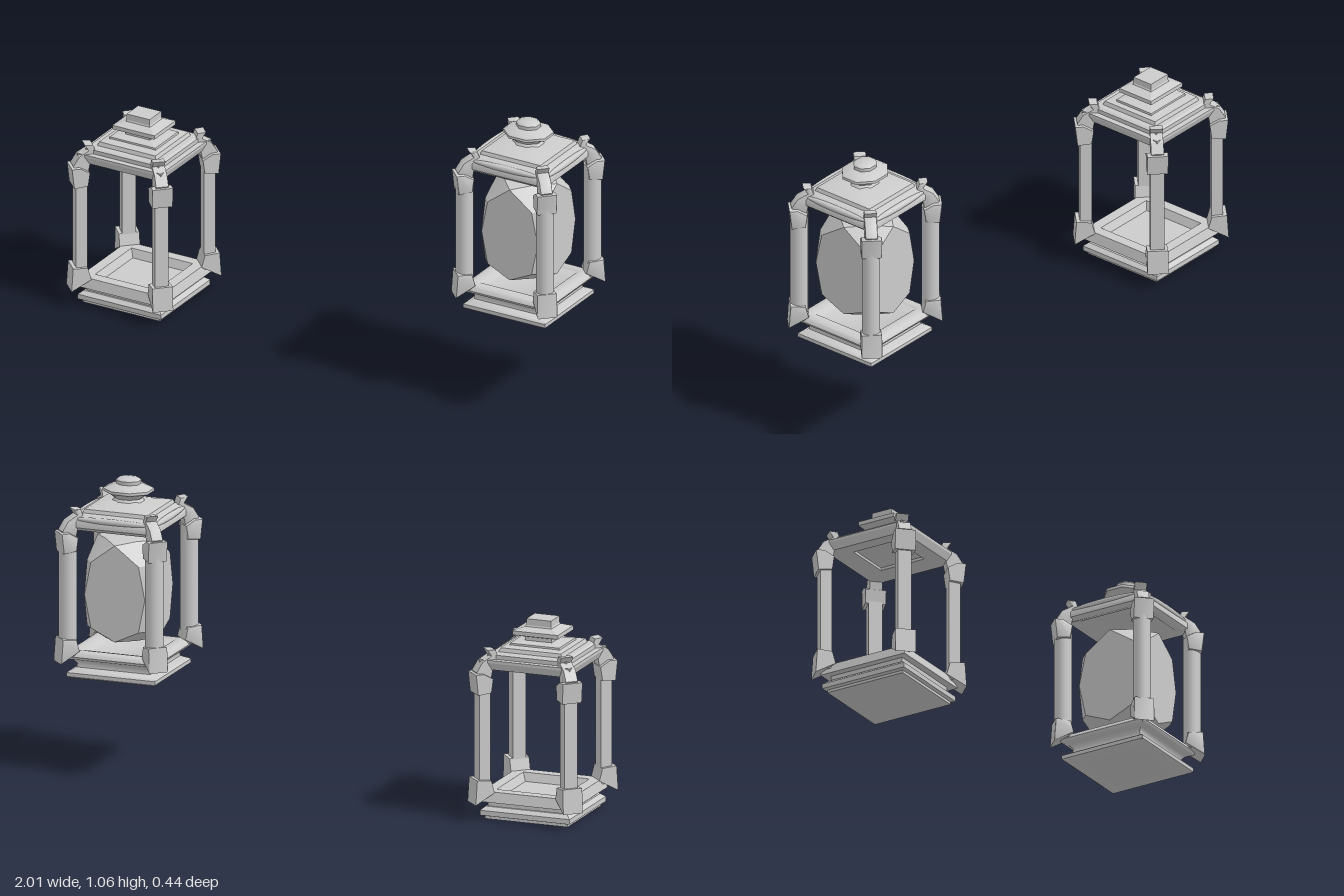
import * as THREE from 'three';
import { toCreasedNormals } from 'three/addons/utils/BufferGeometryUtils.js';
import { ConvexGeometry } from 'three/addons/geometries/ConvexGeometry.js';

const smoothMat = new THREE.MeshStandardMaterial({ color: 0xcccccc });
const flatMat = new THREE.MeshStandardMaterial({ color: 0xcccccc, flatShading: true });

function mesh(name, geometry, material) {
  const m = new THREE.Mesh(geometry, material);
  m.name = name;
  return m;
}

// Turned profile of [half width, y] points, with 4 or 8 sides facing the axes
function turned(name, profile, sides, smooth) {
  const k = 1 / Math.cos(Math.PI / sides);
  const g = new THREE.LatheGeometry(profile.map(([r, y]) => new THREE.Vector2(r * k, y)), sides);
  g.rotateY(Math.PI / sides);
  return mesh(name, smooth ? toCreasedNormals(g, 0.85) : g, smooth ? smoothMat : flatMat);
}

// Side profile in (radius, y), extruded to a centred width; softened when smooth
function slab(name, points, width, smooth) {
  const shape = new THREE.Shape(points.map(([r, y]) => new THREE.Vector2(r, y)));
  const b = smooth ? 0.006 : 0;
  const g = new THREE.ExtrudeGeometry(shape, {
    depth: width - 2 * b, bevelEnabled: smooth, bevelSize: b, bevelThickness: b, bevelOffset: -b, bevelSegments: 2,
  });
  g.translate(0, 0, -width / 2 + b);
  return mesh(name, smooth ? toCreasedNormals(g, 0.7) : g, smooth ? smoothMat : flatMat);
}

// Post with its brackets and roof horn, set on each diagonal
function corner(smooth) {
  const group = new THREE.Group();
  group.name = 'cornerPost';
  const post = smooth
    ? mesh('post', new THREE.CylinderGeometry(0.032, 0.032, 0.43, 16), smoothMat)
    : mesh('post', new THREE.BoxGeometry(0.042, 0.43, 0.05), flatMat);
  post.position.set(0.232, 0.3, 0);
  group.add(
    post,
    slab('lowerBracket', [[0.2, 0.1], [0.272, 0.06], [0.266, 0.15], [0.212, 0.145]], 0.074, smooth),
    slab('upperBracket', [[0.212, 0.465], [0.262, 0.46], [0.27, 0.535], [0.24, 0.535], [0.205, 0.515]], 0.074, smooth),
    slab('roofHorn', [[0.21, 0.5], [0.238, 0.5], [0.262, 0.54], [0.24, 0.575], [0.205, 0.595],
      [0.22, 0.618], [0.19, 0.616], [0.175, 0.575], [0.2, 0.55]], 0.045, smooth),
  );
  return group;
}

function addCorners(lantern, smooth) {
  for (let i = 0; i < 4; i++) {
    const c = corner(smooth);
    c.rotation.y = Math.PI / 4 + i * Math.PI / 2;
    lantern.add(c);
  }
}

// Open lantern with crisp, square parts
function squareLantern() {
  const g = new THREE.Group();
  g.name = 'squareLantern';
  g.add(turned('base', [[0, 0], [0.157, 0], [0.157, 0.01], [0.17, 0.014], [0.17, 0.032], [0.155, 0.045],
    [0.148, 0.045], [0.148, 0.065], [0.175, 0.065], [0.165, 0.102], [0.125, 0.102], [0.112, 0.072], [0, 0.072]], 4, false));
  g.add(turned('roof', [[0, 0.565], [0.09, 0.565], [0.09, 0.555], [0.13, 0.545], [0.16, 0.545], [0.172, 0.572],
    [0.172, 0.582], [0.15, 0.582], [0.15, 0.597], [0.14, 0.602], [0.12, 0.602], [0.115, 0.616], [0, 0.628]], 4, false));
  const finial = turned('finial', [[0, 0.61], [0.095, 0.61], [0.093, 0.626], [0.05, 0.632], [0.05, 0.645], [0.086, 0.655],
    [0.086, 0.67], [0.05, 0.682], [0.047, 0.687], [0.047, 0.71], [0, 0.71]], 4, false);
  finial.scale.z = 0.85;
  g.add(finial);
  addCorners(g, false);
  return g;
}

// Rounded lantern holding a faceted glass
function roundedLantern() {
  const g = new THREE.Group();
  g.name = 'roundedLantern';
  g.add(turned('base', [[0, 0], [0.16, 0], [0.168, 0.006], [0.168, 0.02], [0.16, 0.026], [0.14, 0.036], [0.138, 0.05],
    [0.148, 0.062], [0.168, 0.07], [0.174, 0.08], [0.166, 0.095], [0.145, 0.1], [0.125, 0.096], [0.11, 0.08], [0, 0.08]], 4, true));
  g.add(turned('roof', [[0, 0.565], [0.1, 0.565], [0.125, 0.545], [0.15, 0.537], [0.165, 0.55], [0.165, 0.57],
    [0.15, 0.59], [0.125, 0.595], [0.12, 0.608], [0.108, 0.612], [0.07, 0.62], [0, 0.632]], 4, true));
  const finial = turned('finial', [[0.065, 0.612], [0.048, 0.622], [0.043, 0.634], [0.06, 0.65], [0.076, 0.658], [0.076, 0.668],
    [0.058, 0.678], [0.037, 0.685], [0.038, 0.698], [0.03, 0.706], [0, 0.706]], 8, true);
  finial.scale.x = 1.12;
  g.add(finial);
  // Slim lens-shaped trims along the eaves
  for (let i = 0; i < 4; i++) {
    const a = i * Math.PI / 2;
    const trim = mesh('eaveTrim', new THREE.SphereGeometry(1, 16, 8), smoothMat);
    trim.scale.set(0.14, 0.012, 0.012);
    trim.position.set(Math.sin(a) * 0.157, 0.58, Math.cos(a) * 0.157);
    trim.rotation.y = a;
    g.add(trim);
  }
  // Glass: pointed panel outline repeated on four sides, joined by facets
  const panel = [[0, 0.488], [0.1, 0.42], [0.127, 0.3], [0.1, 0.18], [0, 0.137]];
  const pts = [];
  for (let i = 0; i < 4; i++) {
    for (const [u, y] of panel) {
      for (const s of [-1, 1]) {
        pts.push(new THREE.Vector3(u * s, y, 0.13).applyAxisAngle(new THREE.Vector3(0, 1, 0), i * Math.PI / 2));
      }
    }
  }
  for (const y of [0.133, 0.495]) {
    for (let i = 0; i < 8; i++) {
      const a = i * Math.PI / 4;
      pts.push(new THREE.Vector3(Math.cos(a) * 0.095, y, Math.sin(a) * 0.095));
    }
  }
  const glass = mesh('glass', toCreasedNormals(new ConvexGeometry(pts), 0.4), smoothMat);
  glass.scale.x = 0.9;
  g.add(glass);
  addCorners(g, true);
  return g;
}

export function createModel() {
  const model = new THREE.Group();
  model.name = 'lanternPair';
  const left = roundedLantern();
  left.position.set(0.787, 0.354, -0.01);
  const right = squareLantern();
  right.position.set(-0.785, 0, -0.01);
  model.add(left, right);
  return model;
}
